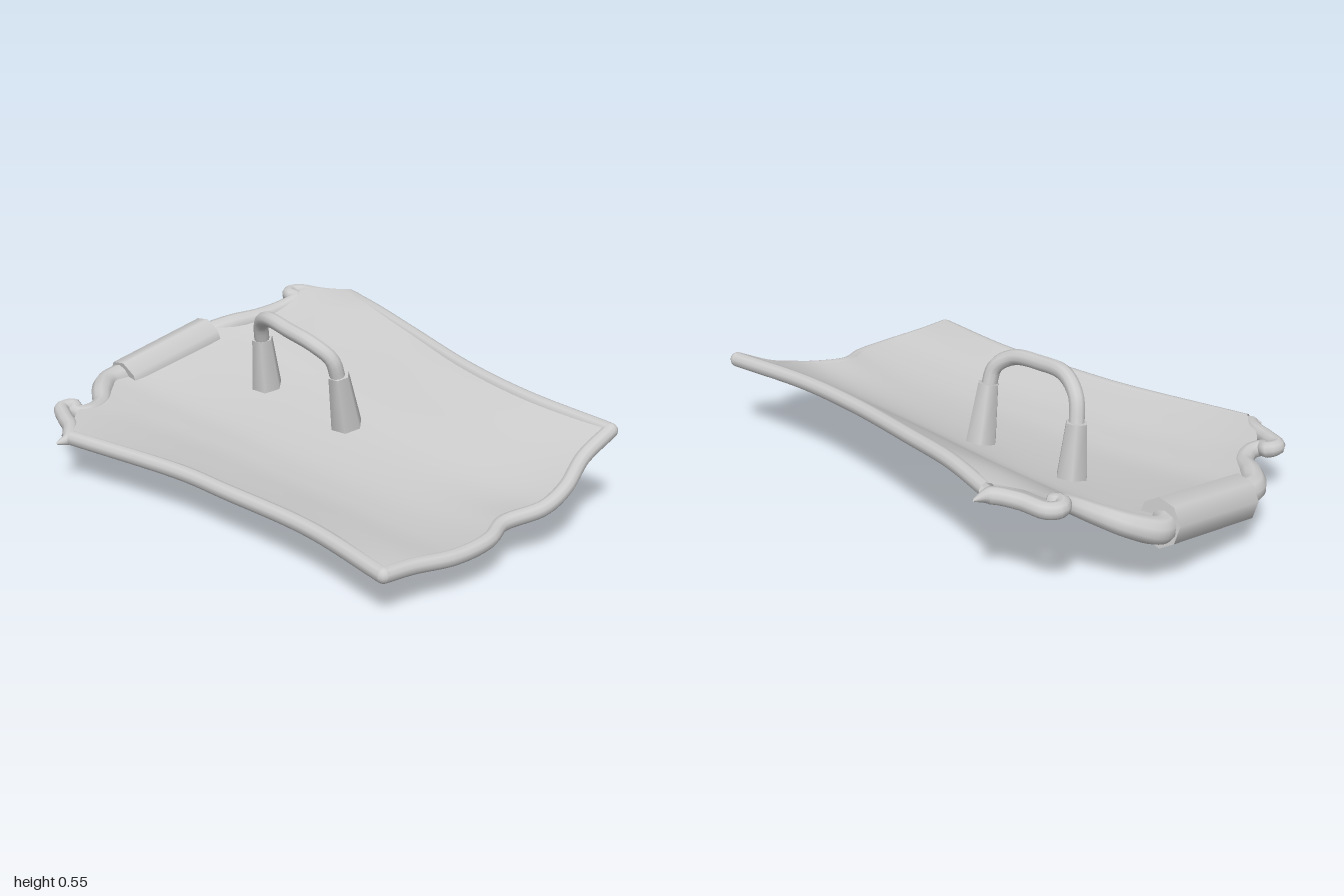
import * as THREE from 'three';

const V = (p) => new THREE.Vector3(...p);
const curve = (pts) => new THREE.CatmullRomCurve3(pts.map(V), false, 'centripetal');

// Edges of the curved plate (x, y, z)
const front = curve([[-.755, .155, .742], [-.65, .15, .775], [-.5, .14, .84], [-.35, .145, .87], [-.24, .155, .855],
  [-.1, .175, .925], [0, .21, .945], [.14, .27, .935], [.258, .335, .97]]);
const back = curve([[-.59, .18, -.7], [-.52, .18, -.76], [-.42, .18, -.82], [-.3, .175, -.82], [-.2, .185, -.91], [-.07, .19, -.94],
  [.13, .22, -.9], [.34, .25, -.85], [.45, .27, -.81], [.5, .305, -.71], [.56, .35, -.62], [.63, .385, -.6], [.7, .405, -.42]]);
const left = curve([[.258, .335, .97], [.305, .352, .62], [.385, .368, .33], [.515, .393, 0], [.605, .408, -.22], [.7, .405, -.42]]);
const right = curve([[-.755, .155, .742], [-.65, .165, .38], [-.6, .17, 0], [-.58, .175, -.2], [-.59, .18, -.7]]);

// Rims between the sleeve and the outer tip, with a curl near each corner
const backRims = {
  leftBackRim: [[.3, .24, -.85], [.38, .245, -.86], [.45, .275, -.8], [.5, .31, -.71], [.56, .355, -.63], [.615, .38, -.61],
    [.615, .385, -.645], [.65, .385, -.66], [.68, .385, -.63], [.682, .39, -.53], [.71, .395, -.44], [.765, .395, -.415]],
  rightBackRim: [[-.04, .19, -.93], [-.14, .185, -.94], [-.22, .185, -.895], [-.3, .175, -.83], [-.38, .18, -.815], [-.42, .185, -.84],
    [-.4, .195, -.87], [-.44, .195, -.89], [-.49, .19, -.83], [-.54, .185, -.755], [-.6, .175, -.715], [-.635, .165, -.735]],
};

// Patch spanned between the four edges, lifted as a whole and sunk by a belly
function plateGeometry(lift, belly, power, nu = 44, nv = 36) {
  const pos = [], index = [];
  const [c00, c10, c01, c11] = [front.getPointAt(0), front.getPointAt(1), back.getPointAt(0), back.getPointAt(1)];
  for (let j = 0; j <= nv; j++) {
    for (let i = 0; i <= nu; i++) {
      const u = i / nu, v = j / nv;
      const p = front.getPointAt(u).multiplyScalar(1 - v).addScaledVector(back.getPointAt(u), v)
        .addScaledVector(right.getPointAt(v), 1 - u).addScaledVector(left.getPointAt(v), u)
        .addScaledVector(c00, -(1 - u) * (1 - v)).addScaledVector(c10, -u * (1 - v))
        .addScaledVector(c01, -(1 - u) * v).addScaledVector(c11, -u * v);
      const s = Math.abs(2 * u - 1), t = Math.abs(2 * v - 1);
      p.y += lift - belly * (1 - s ** power) * (1 - t ** 4);
      pos.push(p.x, p.y, p.z);
      if (i < nu && j < nv) {
        const a = j * (nu + 1) + i, b = a + nu + 1;
        index.push(a, a + 1, b, a + 1, b + 1, b);
      }
    }
  }
  const g = new THREE.BufferGeometry();
  g.setAttribute('position', new THREE.Float32BufferAttribute(pos, 3));
  g.setIndex(index);
  g.computeVertexNormals();
  return g;
}

// Tube whose radius varies along its path
function taperedTube(path, radiusAt, n = 48, sides = 10) {
  const g = new THREE.TubeGeometry(path, n, 1, sides);
  const pos = g.attributes.position, p = new THREE.Vector3();
  for (let k = 0; k < pos.count; k++) {
    const t = Math.floor(k / (sides + 1)) / n, c = path.getPointAt(t);
    p.fromBufferAttribute(pos, k).sub(c).multiplyScalar(radiusAt(t)).add(c);
    pos.setXYZ(k, p.x, p.y, p.z);
  }
  return g;
}

export function createModel() {
  const model = new THREE.Group();
  model.name = 'shield';
  const metal = new THREE.MeshStandardMaterial({ color: 0xcccccc, side: THREE.DoubleSide });
  metal.name = 'grey metal';

  const add = (name, geometry) => {
    const mesh = new THREE.Mesh(geometry, metal);
    mesh.name = name;
    model.add(mesh);
    return mesh;
  };
  const rod = (name, from, to, r0, r1, sides) => {
    const a = V(from), b = V(to), d = b.clone().sub(a);
    const mesh = add(name, new THREE.CylinderGeometry(r1, r0, d.length(), sides));
    mesh.position.copy(a).add(b).multiplyScalar(.5);
    mesh.quaternion.setFromUnitVectors(new THREE.Vector3(0, 1, 0), d.normalize());
  };

  // Bellied outer skin with a soft ridge, and shallower inner skin that runs over the rims
  add('outerPlate', plateGeometry(0, .133, 1.5));
  add('innerPlate', plateGeometry(.025, .055, 1.7));

  // Rolled rims, closed by rounded front corners
  const rimRadius = .027;
  for (const [name, path] of Object.entries({ frontRim: front, leftRim: left, rightRim: right })) {
    add(name, taperedTube(path, () => rimRadius));
  }
  for (const end of [0, 1]) {
    add('frontCorner', new THREE.SphereGeometry(rimRadius, 12, 8)).position.copy(front.getPointAt(end));
  }
  for (const [name, pts] of Object.entries(backRims)) {
    add(name, taperedTube(curve(pts), (t) => t > .93 ? .029 - .35 * (t - .93) : Math.max(.029, .054 - .05 * t), 72));
  }

  // Thick sleeve on the back edge
  rod('backSleeve', [-.068, .172, -.922], [.342, .246, -.842], .085, .085, 8);

  // Carrying handle with flared feet
  add('handle', taperedTube(curve([[.02, .37, .02], [0, .45, .005], [-.015, .495, -.06], [.01, .515, -.19],
    [.05, .52, -.31], [.1, .475, -.385], [.135, .38, -.41]]), () => .028, 32));
  rod('frontHandleFoot', [.085, .115, .02], [.02, .39, .02], .066, .04, 6);
  rod('backHandleFoot', [.17, .125, -.41], [.135, .4, -.41], .066, .04, 6);

  // Rivets along the underside ridge
  for (const [x, y, z] of [[-.12, .025, .4], [-.055, .027, .1], [.02, .038, -.23], [.09, .088, -.55]]) {
    add('rivet', new THREE.SphereGeometry(.025, 8, 6)).position.set(x, y, z);
  }
  return model;
}
